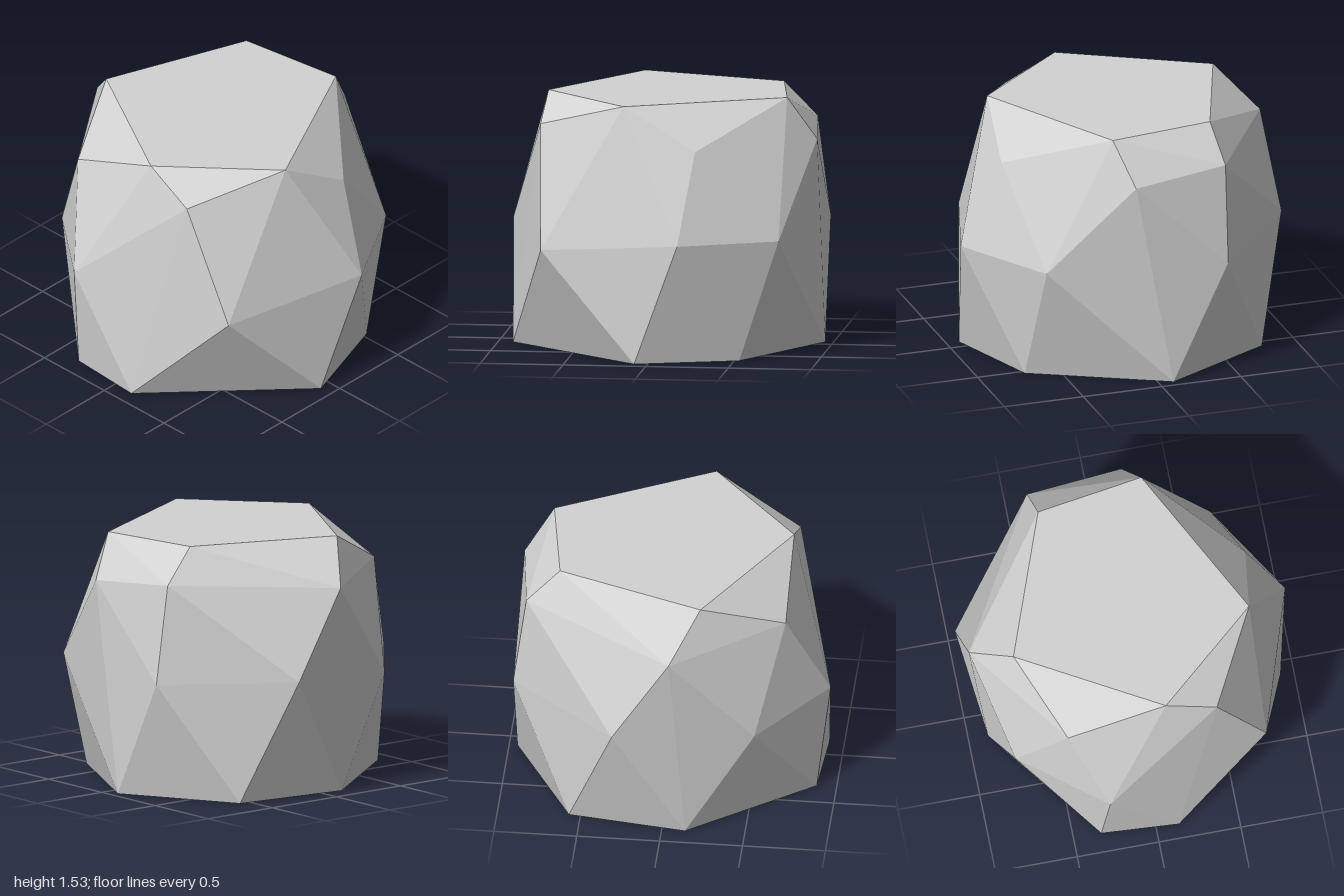
import * as THREE from 'three';
import { ConvexGeometry } from 'three/addons/geometries/ConvexGeometry.js';

// Corner rings of the boulder, each corner as [x, y, z]
const baseRing = [
  [-0.08, 0, 0.92], [0.53, 0, 0.71], [0.95, 0, -0.09], [0.57, 0, -0.78],
  [-0.14, 0, -0.88], [-0.88, 0, -0.33], [-0.91, 0, 0.14],
];
const middleRing = [
  [0.19, 0.73, 1.0], [0.76, 0.72, 0.65], [0.94, 0.72, -0.44], [0.29, 0.74, -1.0],
  [-0.55, 0.66, -0.79], [-0.96, 0.7, -0.29], [-0.67, 0.65, 0.72],
];
const shoulderRing = [
  [0.27, 1.27, 0.77], [0.93, 1.27, 0.14], [0.86, 1.32, -0.45],
  [-0.05, 1.27, -0.98], [-0.71, 1.3, -0.5], [-0.71, 1.37, 0.41],
];
const topRing = [
  [-0.17, 1.53, 0.71], [0.76, 1.53, 0.23], [0.66, 1.53, -0.42],
  [-0.22, 1.53, -0.74], [-0.7, 1.53, 0.1],
];

export function createModel() {
  const model = new THREE.Group();
  model.name = 'boulder';

  const stone = new THREE.MeshStandardMaterial({ color: 0xd2d2d2 });
  stone.name = 'paleStoneGrey';

  // Faceted stone with a flat top and base; the hull gives hard-edged faces
  const corners = [...baseRing, ...middleRing, ...shoulderRing, ...topRing]
    .map((p) => new THREE.Vector3(...p));
  const rock = new THREE.Mesh(new ConvexGeometry(corners), stone);
  rock.name = 'rock';
  model.add(rock);
  return model;
}
